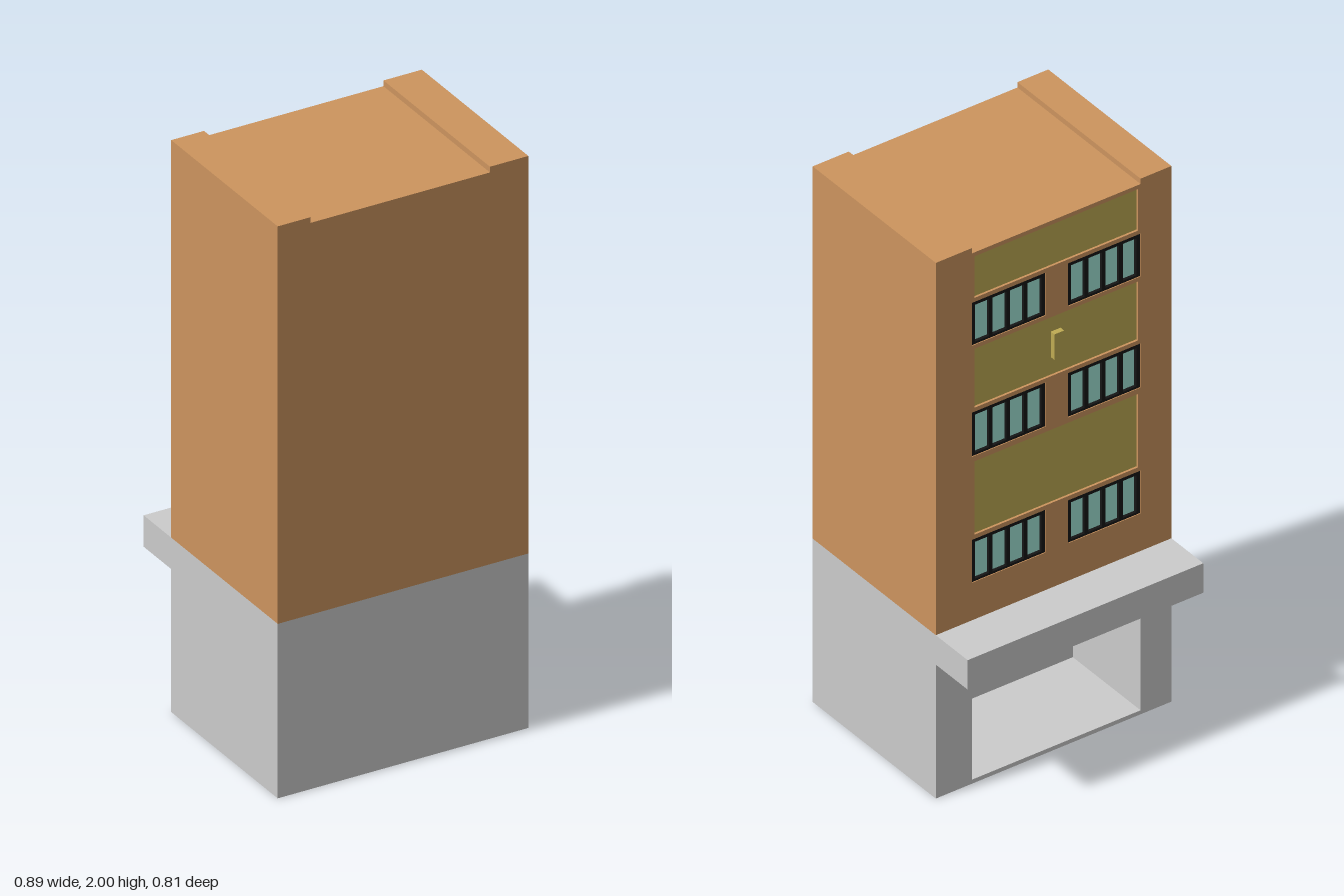
import * as THREE from 'three';

const mat = (color) => new THREE.MeshStandardMaterial({ color, flatShading: true });

export function createModel() {
  const grey = mat(0xcccccc), brown = mat(0xcc945e), olive = mat(0xbfab53);
  const glass = mat(0xa2e6d8), black = mat(0x151515);
  const model = new THREE.Group();

  // Box given by its limits on each axis
  const box = (name, m, x0, x1, y0, y1, z0, z1, parent = model) => {
    const mesh = new THREE.Mesh(new THREE.BoxGeometry(x1 - x0, y1 - y0, z1 - z0), m);
    mesh.position.set((x0 + x1) / 2, (y0 + y1) / 2, (z0 + z1) / 2);
    mesh.name = name;
    parent.add(mesh);
    return mesh;
  };
  const rect = (C, x0, x1, y0, y1) => new C().setFromPoints([
    new THREE.Vector2(x0, y0), new THREE.Vector2(x1, y0),
    new THREE.Vector2(x1, y1), new THREE.Vector2(x0, y1)]);
  // Rectangular slab pierced by rectangular holes
  const pierced = (name, m, outline, holes, depth) => {
    const shape = rect(THREE.Shape, ...outline);
    holes.forEach((h) => shape.holes.push(rect(THREE.Path, ...h)));
    const mesh = new THREE.Mesh(new THREE.ExtrudeGeometry(shape, { depth, bevelEnabled: false }), m);
    mesh.name = name;
    model.add(mesh);
    return mesh;
  };

  const L = -0.447, R = 0.447, street = -0.24, rear = 0.405;
  const inL = -0.33, inR = 0.31, floorTop = 0.61, roof = 1.98, recess = 0.02;

  // Ground floor with a deep open shop front
  const shopBack = 0.115;
  pierced('shopWalls', grey, [L, R, 0, floorTop], [[inL, inR, 0.015, 0.43]], shopBack - street)
    .position.z = street;
  box('groundFloorRear', grey, L, R, 0, floorTop, shopBack, rear);

  // Canopy, hollowed from below
  const canopyOut = -0.407;
  box('canopyTop', grey, L, R, 0.54, floorTop, canopyOut, street);
  const rim = pierced('canopyRim', grey, [L, R, canopyOut, street],
    [[L + 0.03, R - 0.03, canopyOut + 0.03, street - 0.03]], 0.04);
  rim.rotation.x = Math.PI / 2;
  rim.position.y = 0.54;

  // Upper storeys: solid core and a facade with recessed openings
  const panels = [[0.926, 1.20], [1.40, 1.62], [1.81, 1.965]];
  const windowRows = [[0.75, 0.91], [1.22, 1.385], [1.635, 1.795]];
  const windowSpans = [[inL, -0.055], [0.03, inR]];
  const panelHoles = panels.map((p) => [inL + 0.01, inR - 0.01, ...p]);
  const windowHoles = windowRows.flatMap((r) => windowSpans.map((s) => [...s, ...r]));
  box('upperStoreys', brown, L, R, floorTop, roof, street + recess, rear);
  pierced('facade', brown, [L, R, floorTop, roof], [...panelHoles, ...windowHoles], recess)
    .position.z = street;
  box('rightParapet', brown, L, inL, roof, 2, street, rear);
  box('leftParapet', brown, inR, R, roof, 2, street, rear);

  // Coloured panels between the window rows
  panelHoles.forEach(([x0, x1, y0, y1]) =>
    box('facadePanel', olive, x0, x1, y0, y1, street + 0.008, street + recess));
  box('wallBox', olive, -0.032, 0.005, 1.465, 1.56, -0.251, street + 0.01);

  // Four-pane windows
  windowHoles.forEach(([x0, x1, y0, y1]) => {
    const win = new THREE.Group();
    win.name = 'window';
    model.add(win);
    const bar = 0.014, front = street + 0.003, back = street + recess;
    box('glass', glass, x0, x1, y0, y1, street + 0.014, back, win);
    box('topRail', black, x0, x1, y1 - bar, y1, front, back, win);
    box('bottomRail', black, x0, x1, y0, y0 + 0.008, front, back, win);
    for (let i = 0; i <= 4; i++) {
      const x = x0 + (x1 - x0 - bar) * i / 4;
      box('mullion', black, x, x + bar, y0 + 0.008, y1 - bar, front, back, win);
    }
  });

  return model;
}
